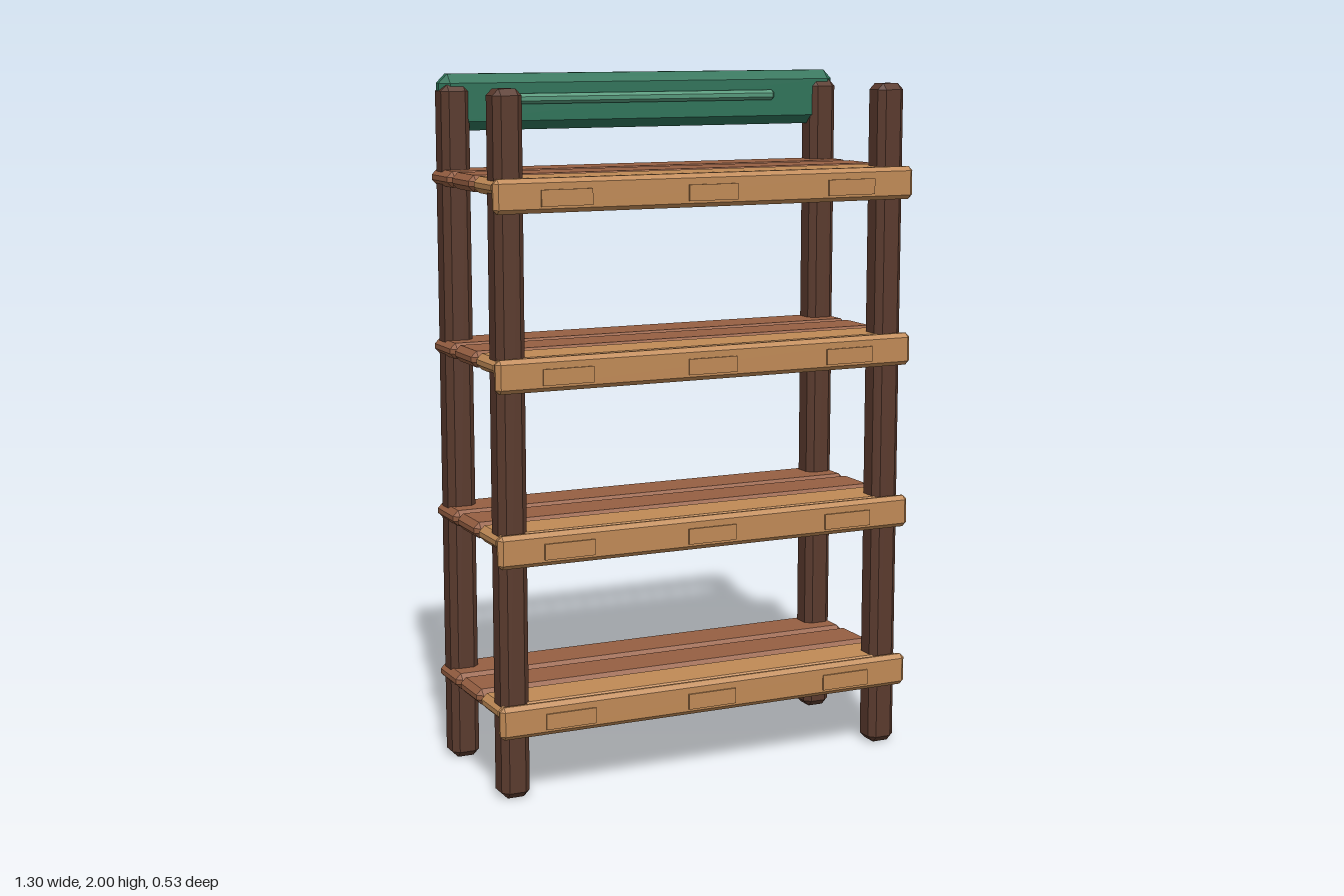
import * as THREE from 'three';
import { ConvexGeometry } from 'three/addons/geometries/ConvexGeometry.js';

const mat = (name, color) => {
  const m = new THREE.MeshStandardMaterial({ color });
  m.name = name;
  return m;
};

// Box with every edge and corner cut flat by the bevel b
function chamferBox(w, h, d, b) {
  const pts = [];
  const [x, y, z] = [w / 2, h / 2, d / 2];
  for (const sx of [-1, 1]) for (const sy of [-1, 1]) for (const sz of [-1, 1]) {
    pts.push(
      new THREE.Vector3(sx * x, sy * (y - b), sz * (z - b)),
      new THREE.Vector3(sx * (x - b), sy * y, sz * (z - b)),
      new THREE.Vector3(sx * (x - b), sy * (y - b), sz * z));
  }
  return new ConvexGeometry(pts);
}

export function createModel() {
  const lightWood = mat('lightWood', 0xc08a56);
  const midWood = mat('midWood', 0x965f42);
  const darkWood = mat('darkWood', 0x5a3a2d);
  const green = mat('greenPaint', 0x2e7359);
  const paleGreen = mat('paleGreenPaint', 0x55987a);

  const model = new THREE.Group();
  model.name = 'shelfUnit';

  const add = (parent, name, geometry, material, x, y, z) => {
    const mesh = new THREE.Mesh(geometry, material);
    mesh.name = name;
    mesh.position.set(x, y, z);
    parent.add(mesh);
  };

  // Four corner posts
  const postGeo = chamferBox(0.084, 1.97, 0.084, 0.018);
  for (const [side, x] of [['right', -0.591], ['left', 0.591]]) {
    add(model, side + 'FrontPost', postGeo, darkWood, x, 0.985, 0.19);
    add(model, side + 'BackPost', postGeo, darkWood, x, 0.985, -0.213);
  }

  // Shelves: three planks, a front lip and three small plates on the lip
  const plankGeo = chamferBox(1.286, 0.046, 0.16, 0.016);
  const lipGeo = chamferBox(1.296, 0.094, 0.032, 0.012);
  const plateGeo = new THREE.BoxGeometry(0.15, 0.045, 0.008);
  for (let i = 0; i < 4; i++) {
    const shelf = new THREE.Group();
    shelf.name = 'shelf' + (i + 1);
    shelf.position.y = 0.252 + i * 0.4857;
    add(shelf, 'frontPlank', plankGeo, lightWood, 0, 0, 0.156);
    add(shelf, 'middlePlank', plankGeo, midWood, 0, 0, -0.015);
    add(shelf, 'backPlank', plankGeo, midWood, 0, 0, -0.185);
    add(shelf, 'frontLip', lipGeo, lightWood, 0, -0.023, 0.244);
    for (const x of [-0.44, 0, 0.44]) {
      add(shelf, 'lipPlate', plateGeo, lightWood, x, -0.029, 0.261);
    }
    model.add(shelf);
  }

  // Header board between the back posts, with a raised strip
  add(model, 'headerBoard', chamferBox(1.264, 0.16, 0.074, 0.026), green, 0, 1.92, -0.221);
  add(model, 'headerStrip', chamferBox(0.84, 0.03, 0.03, 0.009), paleGreen, 0, 1.928, -0.183);

  return model;
}
